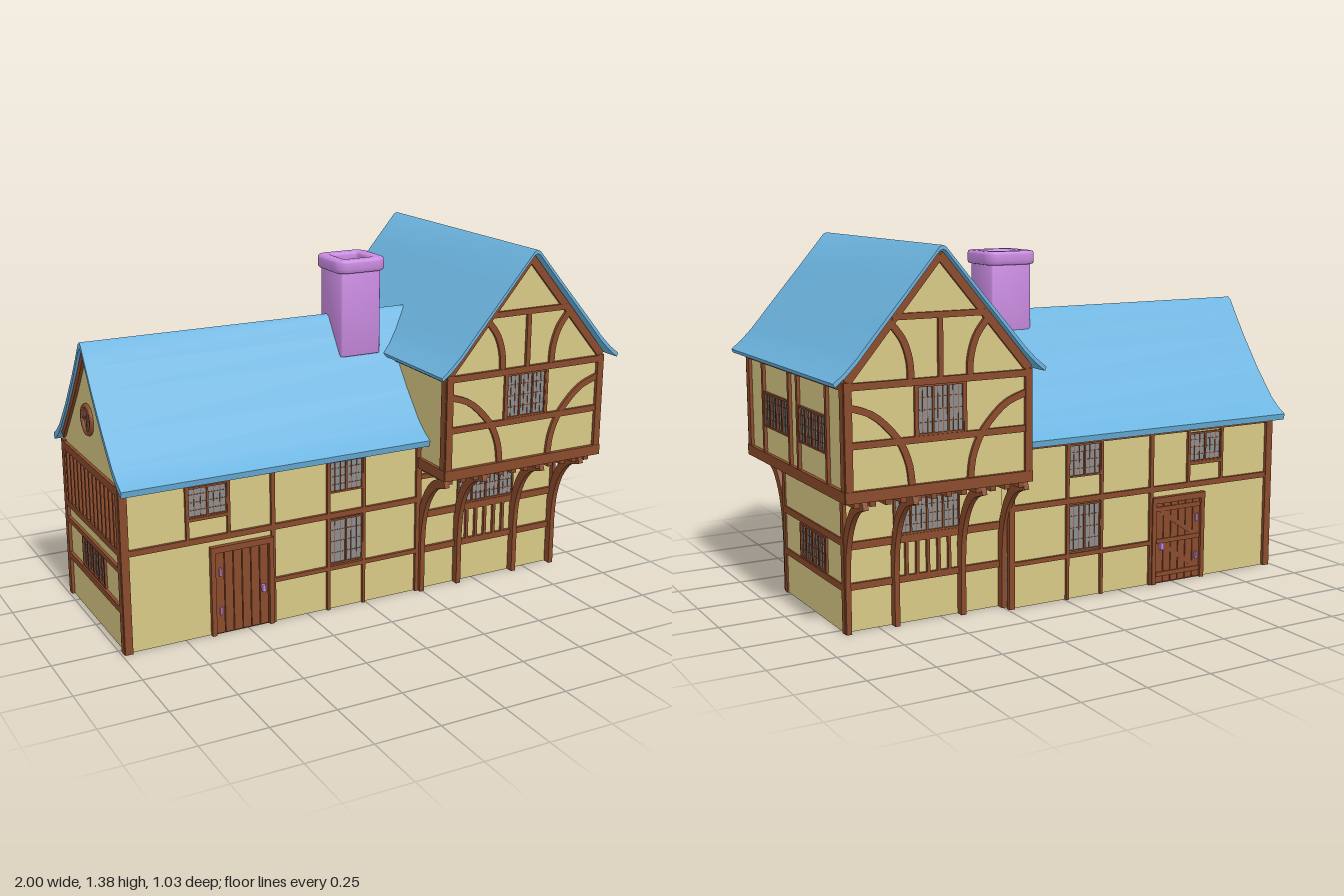
import * as THREE from 'three';
import { toCreasedNormals } from 'three/addons/utils/BufferGeometryUtils.js';

const mat = (color, side = THREE.FrontSide) => new THREE.MeshStandardMaterial({ color, side });
const ROOF = mat(0x6cb4e0, THREE.DoubleSide), WALL = mat(0xd8c985, THREE.DoubleSide), WOOD = mat(0x8a4b2c);
const GLASS = mat(0x8c8c8c), PURPLE = mat(0xc98ae0);
const MZ = -0.025, WX = 0.59; // centre lines of the main range and the cross wing

const v2 = (p) => new THREE.Vector2(p[0], p[1]);

function add(parent, name, geo, material, x = 0, y = 0, z = 0) {
  const m = new THREE.Mesh(geo, material);
  m.name = name;
  m.position.set(x, y, z);
  parent.add(m);
  return m;
}

// A vertical working plane: local +z points outward, s flips the horizontal axis
function face(root, name, x, z, rot, s) {
  const g = new THREE.Group();
  g.name = name;
  g.position.set(x, 0, z);
  g.rotation.y = rot;
  root.add(g);
  return { g, s };
}

// Flat box on a face between two corners
function bar(f, name, a, b, y0, y1, d = 0.012, material = WOOD) {
  const geo = new THREE.BoxGeometry(Math.abs(b - a), y1 - y0, d + 0.008);
  return add(f.g, name, geo, material, f.s * (a + b) / 2, (y0 + y1) / 2, (d - 0.008) / 2);
}

// Polygon extruded on a face
function poly(f, name, pts, z0, depth, material) {
  const shape = new THREE.Shape(pts.map((p) => new THREE.Vector2(f.s * p[0], p[1])));
  const geo = new THREE.ExtrudeGeometry(shape, { depth, bevelEnabled: false });
  return add(f.g, name, toCreasedNormals(geo, 0.5), material, 0, 0, z0);
}

// Curved or straight timber of constant width through the given points
function timber(f, name, pts, w, z0 = -0.005, depth = 0.016) {
  const curve = pts.length > 2 ? new THREE.SplineCurve(pts.map(v2)) : new THREE.LineCurve(...pts.map(v2));
  const n = pts.length > 2 ? 14 : 1, outer = [], inner = [];
  for (let i = 0; i <= n; i++) {
    const p = curve.getPoint(i / n), t = curve.getTangent(i / n);
    outer.push([p.x - t.y * w / 2, p.y + t.x * w / 2]);
    inner.unshift([p.x + t.y * w / 2, p.y - t.x * w / 2]);
  }
  return poly(f, name, [...outer, ...inner], z0, depth, WOOD);
}

// Leaded window: glass, frame, main mullions and fine lattice
function windowAt(f, a, b, y0, y1, lights) {
  const w = f, e = 0.007, cw = (b - a) / lights;
  bar(w, 'windowGlass', a, b, y0, y1, 0.003, GLASS);
  bar(w, 'windowSill', a, b, y0, y0 + e, 0.009);
  bar(w, 'windowHead', a, b, y1 - e, y1, 0.009);
  for (let i = 0; i <= lights; i++) {
    const x = a + i * cw;
    bar(w, 'mullion', x - e / 2, x + e / 2, y0, y1, 0.009);
    if (i < lights) for (const k of [1 / 3, 2 / 3]) bar(w, 'leadBar', x + k * cw - 0.001, x + k * cw + 0.001, y0, y1, 0.005);
  }
  for (let k = 1; k < 4; k++) {
    const y = y0 + (y1 - y0) * k / 4;
    bar(w, 'leadBar', a, b, y - 0.001, y + 0.001, 0.005);
  }
}

function door(f, braced) {
  bar(f, 'doorBack', -0.645, -0.405, 0, 0.34, 0.005);
  for (const x of [-0.65, -0.415]) bar(f, 'doorJamb', x, x + 0.018, 0, 0.345, 0.018);
  bar(f, 'doorLintel', -0.65, -0.397, 0.328, 0.352, 0.02);
  for (let i = 0; i < 6; i++) bar(f, 'doorPlank', -0.629 + i * 0.0355, -0.597 + i * 0.0355, 0.005, 0.325, 0.01);
  if (braced) {
    for (const y of [0.03, 0.165, 0.295]) bar(f, 'doorLedge', -0.628, -0.418, y, y + 0.018, 0.015);
    timber(f, 'doorBrace', [[-0.61, 0.05], [-0.44, 0.165]], 0.018);
    timber(f, 'doorBrace', [[-0.61, 0.18], [-0.44, 0.295]], 0.018);
  }
  for (const y of [0.08, 0.235]) bar(f, 'doorHinge', -0.617, -0.608, y, y + 0.03, 0.018, PURPLE);
  bar(f, 'doorLatch', -0.448, -0.434, 0.14, 0.168, 0.024, PURPLE);
}

// Long side of the main range
function mainSide(f, back) {
  poly(f, 'mainWall', [[-0.98, 0], [0.24, 0], [0.24, 0.67], [-0.98, 0.67]], -0.01, 0.01, WALL);
  bar(f, 'cornerPost', -0.99, -0.96, 0, 0.62, 0.014);
  bar(f, 'wallPlate', -0.98, 0.24, 0.603, 0.628, 0.014);
  bar(f, 'midRail', -0.98, 0.24, 0.375, 0.397);
  bar(f, 'lowerRail', -0.39, 0.24, 0.163, 0.18);
  bar(f, 'wallPost', -0.403, -0.387, 0, 0.61);
  bar(f, 'wallPost', 0.222, 0.245, 0, 0.61);
  for (const x of [-0.735, -0.573]) bar(f, 'stud', x - 0.006, x + 0.006, 0.39, 0.61);
  for (const x of [-0.163, -0.01]) bar(f, 'stud', x - 0.006, x + 0.006, 0, 0.61);
  windowAt(f, -0.73, -0.578, 0.475, 0.595, 2);
  windowAt(f, -0.157, -0.016, 0.475, 0.603, 2);
  windowAt(f, -0.157, -0.016, 0.185, 0.37, 2);
  bar(f, 'windowRail', -0.735, -0.573, 0.465, 0.477);
  door(f, back);
}

// Gable end of the main range
function mainEnd(f) {
  const H = 0.31;
  poly(f, 'endWall', [[-H, 0], [H, 0], [H, 0.67], [0.115, 0.9], [0, 1.06], [-0.115, 0.9], [-H, 0.67]], -0.01, 0.01, WALL);
  for (const s of [-1, 1]) {
    bar(f, 'cornerPost', s * 0.318, s * 0.288, 0, 0.64);
    timber(f, 'gableRafter', [[s * 0.3, 0.66], [s * 0.115, 0.885], [0, 1.045]], 0.025);
  }
  for (const [a, b] of [[0.605, 0.635], [0.375, 0.4], [0.31, 0.33], [0.155, 0.18]]) bar(f, 'endRail', -H, H, a, b);
  for (let i = -6; i <= 6; i++) bar(f, 'closeStud', i * 0.044 - 0.006, i * 0.044 + 0.006, 0.39, 0.61);
  windowAt(f, -0.125, 0.125, 0.185, 0.31, 4);
  add(f.g, 'roundWindowFrame', new THREE.TorusGeometry(0.052, 0.01, 6, 24), WOOD, 0, 0.8, 0.004);
  add(f.g, 'roundWindowGlass', new THREE.CircleGeometry(0.052, 24), GLASS, 0, 0.8, 0.003);
  bar(f, 'roundWindowBar', -0.004, 0.004, 0.75, 0.85, 0.008);
  bar(f, 'roundWindowBar', -0.05, 0.05, 0.796, 0.804, 0.008);
}

// Ground floor front of the cross wing
function wingLower(f) {
  poly(f, 'wingLowerWall', [[0.24, 0], [0.88, 0], [0.88, 0.53], [0.24, 0.53]], -0.01, 0.01, WALL);
  for (const [a, b] of [[0.466, 0.485], [0.302, 0.33], [0.155, 0.18]]) bar(f, 'wingRail', 0.24, 0.88, a, b);
  windowAt(f, 0.423, 0.682, 0.33, 0.466, 4);
  for (let i = 0; i < 5; i++) bar(f, 'smallStud', 0.459 + i * 0.043, 0.471 + i * 0.043, 0.178, 0.305);
}

// Jettied gable of the cross wing, horizontal axis measured from its centre
function wingGable(f) {
  poly(f, 'gableWall', [[-0.35, 0.52], [0.35, 0.52], [0.35, 0.94], [0, 1.35], [-0.35, 0.94]], -0.01, 0.01, WALL);
  bar(f, 'jettyBeam', -0.362, 0.362, 0.52, 0.56, 0.016);
  bar(f, 'tieBeam', -0.355, 0.355, 0.902, 0.927, 0.014);
  bar(f, 'gableRail', -0.34, 0.34, 0.703, 0.727);
  bar(f, 'collar', -0.18, 0.18, 1.128, 1.15);
  bar(f, 'kingPost', -0.009, 0.009, 0.92, 1.135);
  windowAt(f, -0.088, 0.088, 0.727, 0.902, 3);
  for (const s of [-1, 1]) {
    bar(f, 'gablePost', s * 0.36, s * 0.332, 0.55, 0.93, 0.014);
    bar(f, 'windowPost', s * 0.1, s * 0.088, 0.72, 0.91, 0.01);
    timber(f, 'gableRafter', [[s * 0.348, 0.93], [0, 1.341]], 0.03);
    timber(f, 'curvedBrace', [[s * 0.34, 0.845], [s * 0.25, 0.81], [s * 0.165, 0.725], [s * 0.125, 0.64], [s * 0.113, 0.56]], 0.024);
    timber(f, 'upperBrace', [[s * 0.185, 1.12], [s * 0.14, 1.06], [s * 0.117, 0.99], [s * 0.112, 0.92]], 0.024);
  }
}

// Upper long side of the cross wing
function wingSide(f, windows) {
  poly(f, 'wingSideWall', [[-0.475, 0.52], [0.475, 0.52], [0.475, 0.94], [-0.475, 0.94]], -0.01, 0.01, WALL);
  bar(f, 'jettyBeam', -0.485, 0.485, 0.52, 0.56, 0.014);
  bar(f, 'eaveBeam', -0.475, 0.475, 0.902, 0.93);
  for (const s of [-1, 1]) bar(f, 'cornerPost', s * 0.482, s * 0.45, 0.55, 0.93);
  if (!windows) return;
  for (const z of [0.305, 0.032, -0.052, -0.325]) bar(f, 'stud', z - 0.008, z + 0.008, 0.55, 0.91);
  windowAt(f, 0.044, 0.295, 0.66, 0.795, 4);
  windowAt(f, -0.315, -0.064, 0.66, 0.795, 4);
}

// Thin roof sheet from a half profile, running along the face's outward axis
function roof(f, name, half, thick, length) {
  const mirror = (p) => [-p[0], p[1]], down = (p) => [p[0] * 0.985, p[1] - thick];
  const top = [...half.slice(1).reverse().map(mirror), ...half];
  poly(f, name, [...top, ...top.map(down).reverse()], 0, length, ROOF);
}

// Square ring with rounded corners, standing on y
function squareRing(root, name, size, hole, r, y, h, bevel) {
  const path = (P, w, q) => {
    const k = w / 2, p = new P();
    [[1, 1], [-1, 1], [-1, -1], [1, -1]].forEach(([a, b], i) => {
      const c = Math.PI / 2 * i;
      p.absarc(a * (k - q), b * (k - q), q, c, c + Math.PI / 2);
    });
    return p;
  };
  const shape = path(THREE.Shape, size - 2 * bevel, r);
  shape.holes.push(path(THREE.Path, hole + 2 * bevel, r * 0.6));
  const geo = new THREE.ExtrudeGeometry(shape, { depth: h - 2 * bevel, bevelSize: bevel, bevelThickness: bevel, bevelSegments: 3, curveSegments: 4 });
  geo.rotateX(-Math.PI / 2);
  add(root, name, toCreasedNormals(geo, 0.7), PURPLE, 0.085, y + bevel, 0.005);
}

export function createModel() {
  const root = new THREE.Group(), Q = Math.PI / 2;
  root.name = 'timberFramedHouse';

  // Faces repeated on the front and the back
  for (const s of [1, -1]) {
    const rot = s > 0 ? 0 : Math.PI, label = s > 0 ? 'front' : 'back';
    mainSide(face(root, label + 'MainRange', 0, MZ + s * 0.31, rot, s), s < 0);
    wingLower(face(root, label + 'WingGroundFloor', 0, s * 0.28, rot, s));
    wingGable(face(root, label + 'WingGable', WX, s * 0.475, rot, s));

    // Curved brackets and joists carrying the jetty
    for (const x of [0.247, 0.418, 0.686, 0.874]) {
      const f = face(root, label + 'JettyBracket', x, 0, Q, 1);
      const pts = [[0.293, 0.2], [0.302, 0.3], [0.335, 0.4], [0.395, 0.475], [0.472, 0.505]].map(([u, y]) => [-s * u, y]);
      timber(f, 'bracketCurve', pts, 0.036, -0.01, 0.02);
      timber(f, 'bracketPost', [[-s * 0.293, 0], [-s * 0.293, 0.205]], 0.036, -0.01, 0.02);
    }
    for (let i = 0; i < 12; i++) add(root, 'joist', new THREE.BoxGeometry(0.022, 0.025, 0.19), WOOD, 0.265 + i * 0.058, 0.51, s * 0.375);
  }

  mainEnd(face(root, 'leftEnd', -0.98, MZ, -Q, 1));

  // Ground floor end wall of the cross wing
  const end = face(root, 'wingEnd', 0.88, 0, Q, -1);
  poly(end, 'wingEndWall', [[-0.28, 0], [0.28, 0], [0.28, 0.53], [-0.28, 0.53]], -0.01, 0.01, WALL);
  for (const [a, b] of [[0.32, 0.347], [0.155, 0.18]]) bar(end, 'wingRail', -0.29, 0.29, a, b, 0.006);
  for (const s of [-1, 1]) bar(end, 'wingPost', s * 0.3, s * 0.275, 0, 0.52, 0.006);
  windowAt(end, -0.138, 0.112, 0.185, 0.318, 4);

  wingSide(face(root, 'wingRightSide', WX + 0.35, 0, Q, -1), true);
  wingSide(face(root, 'wingLeftSide', WX - 0.35, 0, -Q, 1), false);
  add(root, 'jettyFloor', new THREE.BoxGeometry(0.7, 0.012, 0.94), WALL, WX, 0.528, 0);

  // Roofs with flared eaves
  const mainHalf = [[0, 1.09], [0.015, 1.08], [0.06, 1.012], [0.115, 0.932], [0.21, 0.808], [0.3, 0.705], [0.345, 0.668], [0.385, 0.645]];
  roof(face(root, 'mainRoof', -1, MZ, Q, 1), 'mainRoofSheet', mainHalf, 0.024, 1.35);
  const wingHalf = [[0, 1.375], [0.012, 1.37], [0.13, 1.232], [0.25, 1.094], [0.32, 1.012], [0.365, 0.967], [0.405, 0.935]];
  roof(face(root, 'wingRoof', WX + 0.003, -0.515, 0, 1), 'wingRoofSheet', wingHalf, 0.014, 1.03);

  // Chimney
  squareRing(root, 'chimneyShaft', 0.175, 0.115, 0.015, 0.94, 0.34, 0.002);
  squareRing(root, 'chimneyCap', 0.212, 0.115, 0.035, 1.265, 0.052, 0.012);
  return root;
}
